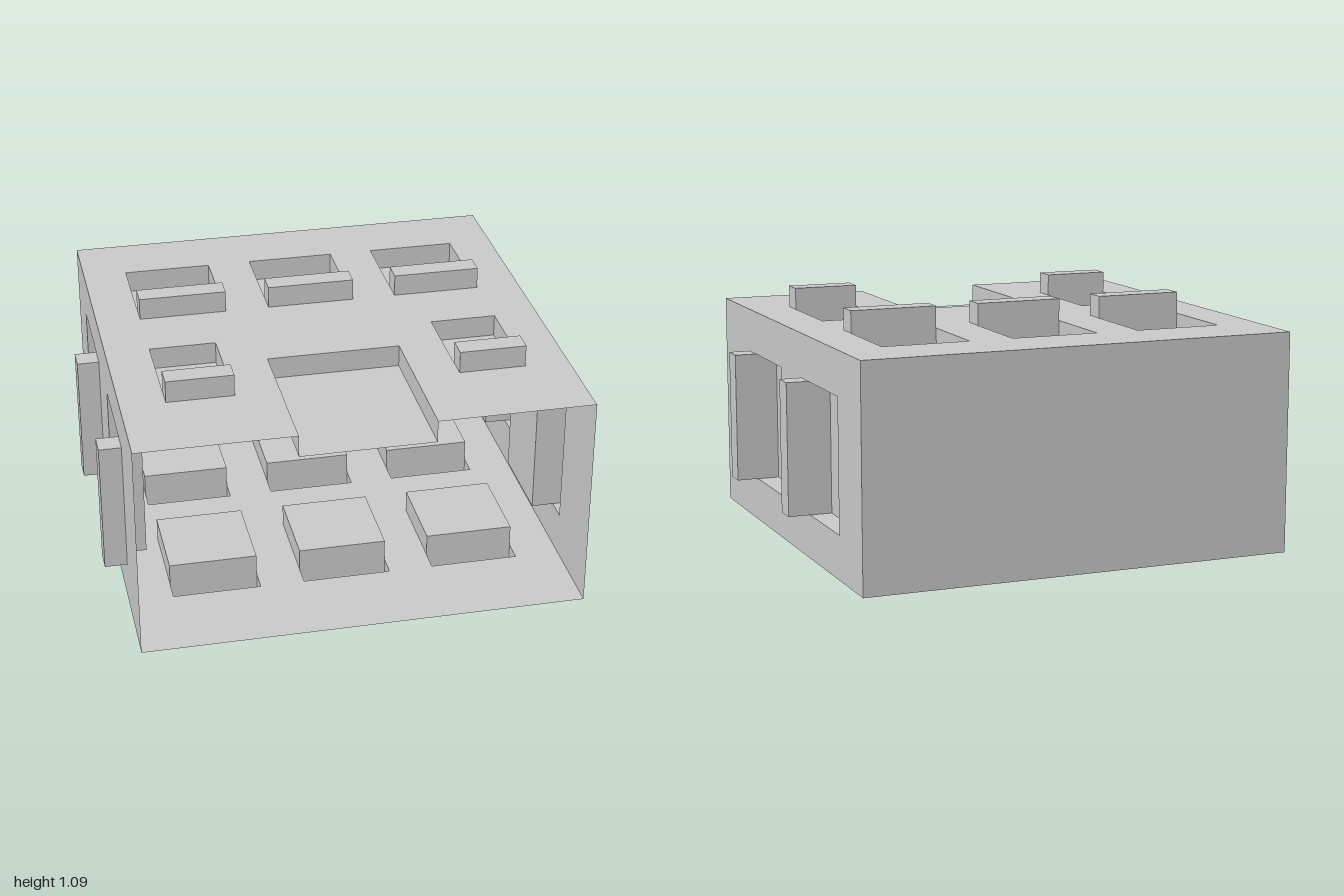
import * as THREE from 'three';
import { mergeGeometries } from 'three/addons/utils/BufferGeometryUtils.js';

// Sheet-thin box, laid out on a grid of 11 cells per unit.
const CELL = 1 / 11;
const material = new THREE.MeshStandardMaterial({ color: 0xcccccc, side: THREE.DoubleSide, flatShading: true });

// Flat four-cornered sheet, corners anticlockwise seen from outside
function quad(a, b, c, d) {
  const g = new THREE.BufferGeometry();
  g.setAttribute('position', new THREE.Float32BufferAttribute([a, b, c, a, c, d].flat(), 3));
  g.computeVertexNormals();
  return g;
}

const mesh = (name, geometry) => {
  const m = new THREE.Mesh(geometry, material);
  m.name = name;
  return m;
};

const rectangle = (u0, u1, v0, v1) =>
  [[u0, v0], [u1, v0], [u1, v1], [u0, v1]].map(([u, v]) => new THREE.Vector2(u, v));

// Folded strip swept across u along a (v, n) profile, with rectangular end walls
function foldedSheet(u0, u1, profile, ends) {
  const parts = [];
  for (let i = 0; i < profile.length - 1; i++) {
    const [va, na] = profile[i], [vb, nb] = profile[i + 1];
    parts.push(quad([u0, va, na], [u1, va, na], [u1, vb, nb], [u0, vb, nb]));
  }
  for (const [va, vb, n] of ends) {
    // a sunken end wall faces into the pocket, a raised one faces outward
    parts.push(quad([u0, va, 0], [u0, va, n], [u0, vb, n], [u0, vb, 0]));
    parts.push(quad([u1, va, 0], [u1, vb, 0], [u1, vb, n], [u1, va, n]));
  }
  return mergeGeometries(parts);
}

// Sunken pocket followed by a hollow raised lip in front of it
const louver = ([u0, u1, v]) => foldedSheet(u0, u1,
  [[v, 0], [v, -1], [v + 4, -1], [v + 4, 1], [v + 5, 1], [v + 5, 0]],
  [[v, v + 4, -1], [v + 4, v + 5, 1]]);

// Panel in local axes: x = across, y = toward the front, z = outward
function panel(name, halfWidth, louvers, notched = false) {
  const group = new THREE.Group();
  group.name = name;
  const outline = rectangle(-halfWidth, halfWidth, -10, 10);
  if (notched) {
    outline.splice(3, 0, ...[[3, 10], [3, 3], [-3, 3], [-3, 10]].map(([u, v]) => new THREE.Vector2(u, v)));
    group.add(mesh('frontRecess', foldedSheet(-3, 3, [[3, 0], [3, -1], [10, -1]], [[3, 10, -1]])));
  }
  const shape = new THREE.Shape(outline);
  for (const [u0, u1, v] of louvers) {
    shape.holes.push(new THREE.Path(rectangle(u0, u1, v, v + 5).reverse()));
  }
  group.add(mesh(name + 'Sheet', new THREE.ShapeGeometry(shape)));
  louvers.forEach((l) => group.add(mesh('louver', louver(l))));
  return group;
}

// Turn a panel so its local axes follow the given directions
function place(group, across, outward, y, x = 0) {
  group.quaternion.setFromRotationMatrix(new THREE.Matrix4().makeBasis(
    new THREE.Vector3(...across), new THREE.Vector3(0, 0, 1), new THREE.Vector3(...outward)));
  group.position.set(x, y, 0);
  return group;
}

export function createModel() {
  const model = new THREE.Group();
  model.name = 'louveredBox';
  const box = new THREE.Group();
  box.name = 'box';
  box.scale.setScalar(CELL);
  model.add(box);

  const row = (v) => [[-8, -4, v], [-2, 2, v], [4, 8, v]];

  // Top: three rear louvers, two narrow front ones and the front recess
  const top = panel('topPanel', 10, [...row(-7), [-8, -5, 1], [5, 8, 1]], true);
  box.add(place(top, [-1, 0, 0], [0, 1, 0], 11));

  // Bottom: two rows of three louvers
  const bottom = panel('bottomPanel', 10, [...row(-7), ...row(1)]);
  box.add(place(bottom, [1, 0, 0], [0, -1, 0], 1));

  // Sides: two tall louvers each
  for (const [name, s] of [['leftPanel', 1], ['rightPanel', -1]]) {
    const side = panel(name, 5, [[-3, 3, -7], [-3, 3, 1]]);
    box.add(place(side, [0, s, 0], [s, 0, 0], 6, 10 * s));
  }

  // Plain back; the front stays open
  const back = mesh('backPanel', new THREE.PlaneGeometry(20, 10));
  back.rotation.y = Math.PI;
  back.position.set(0, 6, -10);
  box.add(back);

  return model;
}
